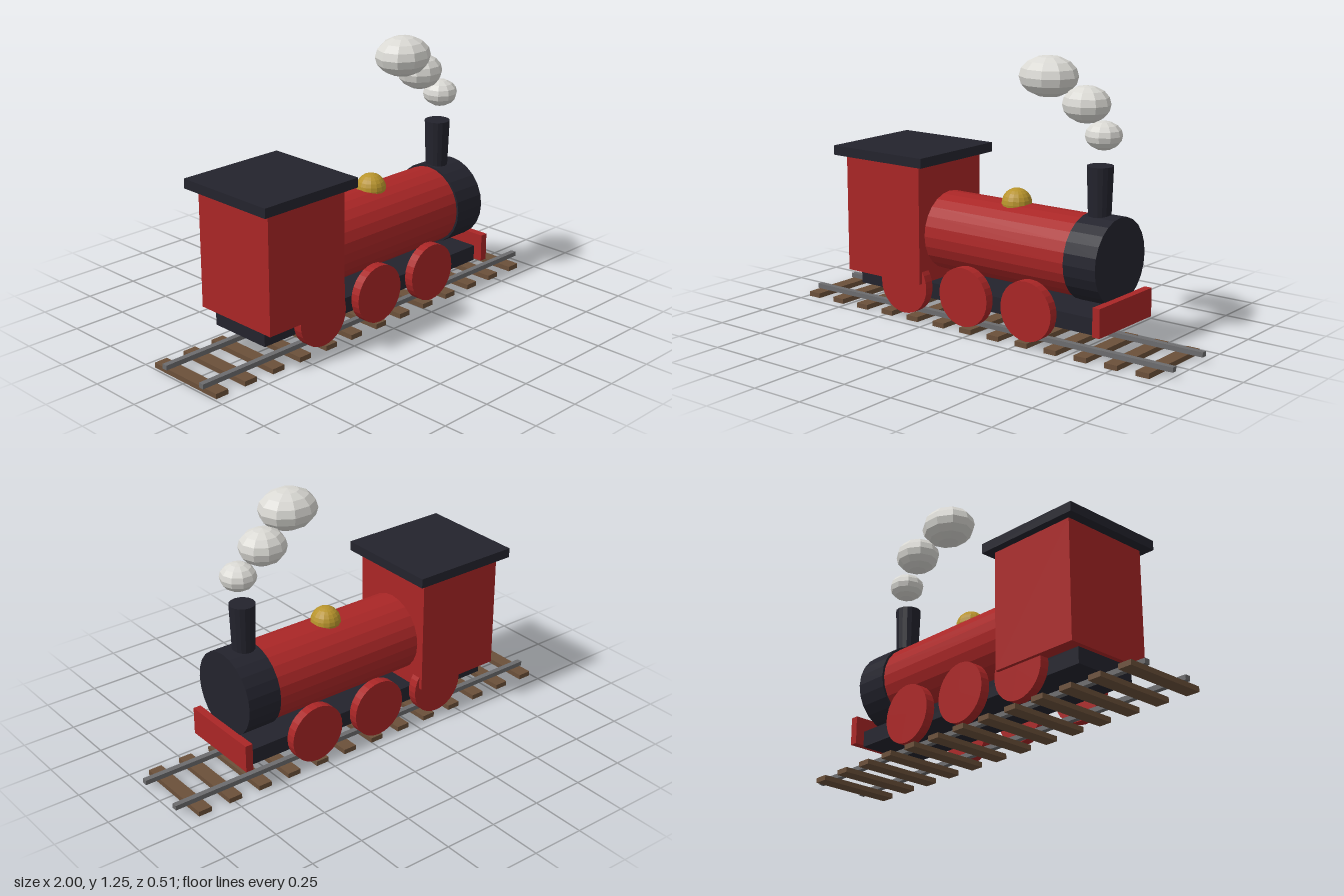
import * as THREE from 'three';

const mat = (name, color) => {
  const m = new THREE.MeshStandardMaterial({ color, flatShading: true });
  m.name = name;
  return m;
};

export function createModel() {
  const red = mat('red paint', 0xaa2626);
  const dark = mat('dark iron', 0x23232d);
  const brass = mat('brass', 0xb8942c);
  const wood = mat('sleeper wood', 0x6b503a);
  const steel = mat('rail steel', 0x6c6c6e);
  const smoke = mat('smoke', 0xdad9d4);

  const model = new THREE.Group();
  model.name = 'steamTrain';

  const add = (name, geometry, material, parent = model) => {
    const mesh = new THREE.Mesh(geometry, material);
    mesh.name = name;
    parent.add(mesh);
    return mesh;
  };
  // Box given by its x and y limits, half depth and z centre
  const box = (name, x0, x1, y0, y1, halfZ, material, z = 0, parent = model) => {
    const g = new THREE.BoxGeometry(x1 - x0, y1 - y0, halfZ * 2);
    g.translate((x0 + x1) / 2, (y0 + y1) / 2, z);
    return add(name, g, material, parent);
  };
  // Drum lying along x
  const drum = (name, x0, x1, r, material) => {
    const g = new THREE.CylinderGeometry(r, r, x1 - x0, 24);
    g.rotateZ(Math.PI / 2);
    g.translate((x0 + x1) / 2, 0.402, 0);
    return add(name, g, material);
  };

  // Track: thirteen sleepers and two rails
  const track = new THREE.Group();
  track.name = 'track';
  model.add(track);
  for (let i = 0; i < 13; i++) {
    const x = -0.957 + i * 0.1546;
    box('sleeper', x - 0.032, x + 0.032, 0, 0.023, 0.2, wood, 0, track);
  }
  for (const s of [-1, 1]) box('rail', -1, 1, 0.023, 0.045, 0.013, steel, s * 0.119, track);

  // Frame, buffer beam, cab and roof
  box('chassis', -0.684, 0.65, 0.112, 0.185, 0.156, dark);
  box('bufferBeam', 0.65, 0.686, 0.12, 0.248, 0.2, red);
  box('cab', -0.707, -0.275, 0.185, 0.73, 0.217, red);
  box('roof', -0.753, -0.231, 0.729, 0.773, 0.253, dark);

  // Boiler and smokebox
  drum('boiler', -0.285, 0.5, 0.18, red);
  drum('smokebox', 0.49, 0.652, 0.19, dark);

  // Chimney, wider at the top
  const chimney = new THREE.CylinderGeometry(0.058, 0.05, 0.23, 16);
  add('chimney', chimney, dark).position.set(0.545, 0.685, 0);

  // Steam dome
  const dome = new THREE.SphereGeometry(0.068, 16, 12);
  add('steamDome', dome, brass).position.set(0.107, 0.578, 0);

  // Three wheels on each side
  const wheel = new THREE.CylinderGeometry(0.134, 0.134, 0.044, 28);
  wheel.rotateX(Math.PI / 2);
  for (const s of [-1, 1]) {
    for (const x of [-0.385, -0.04, 0.304]) {
      add('wheel', wheel, red).position.set(x, 0.165, s * 0.178);
    }
  }

  // Smoke puffs, growing as they drift back: centre, then radii
  const puffs = [
    [0.56, 0.93, 0, 0.08, 0.062, 0.08],
    [0.452, 1.047, -0.028, 0.107, 0.081, 0.099],
    [0.288, 1.157, 0.018, 0.134, 0.09, 0.117],
  ];
  for (const [x, y, z, rx, ry, rz] of puffs) {
    const g = new THREE.SphereGeometry(1, 10, 8);
    g.scale(rx, ry, rz);
    add('smokePuff', g, smoke).position.set(x, y, z);
  }
  return model;
}
